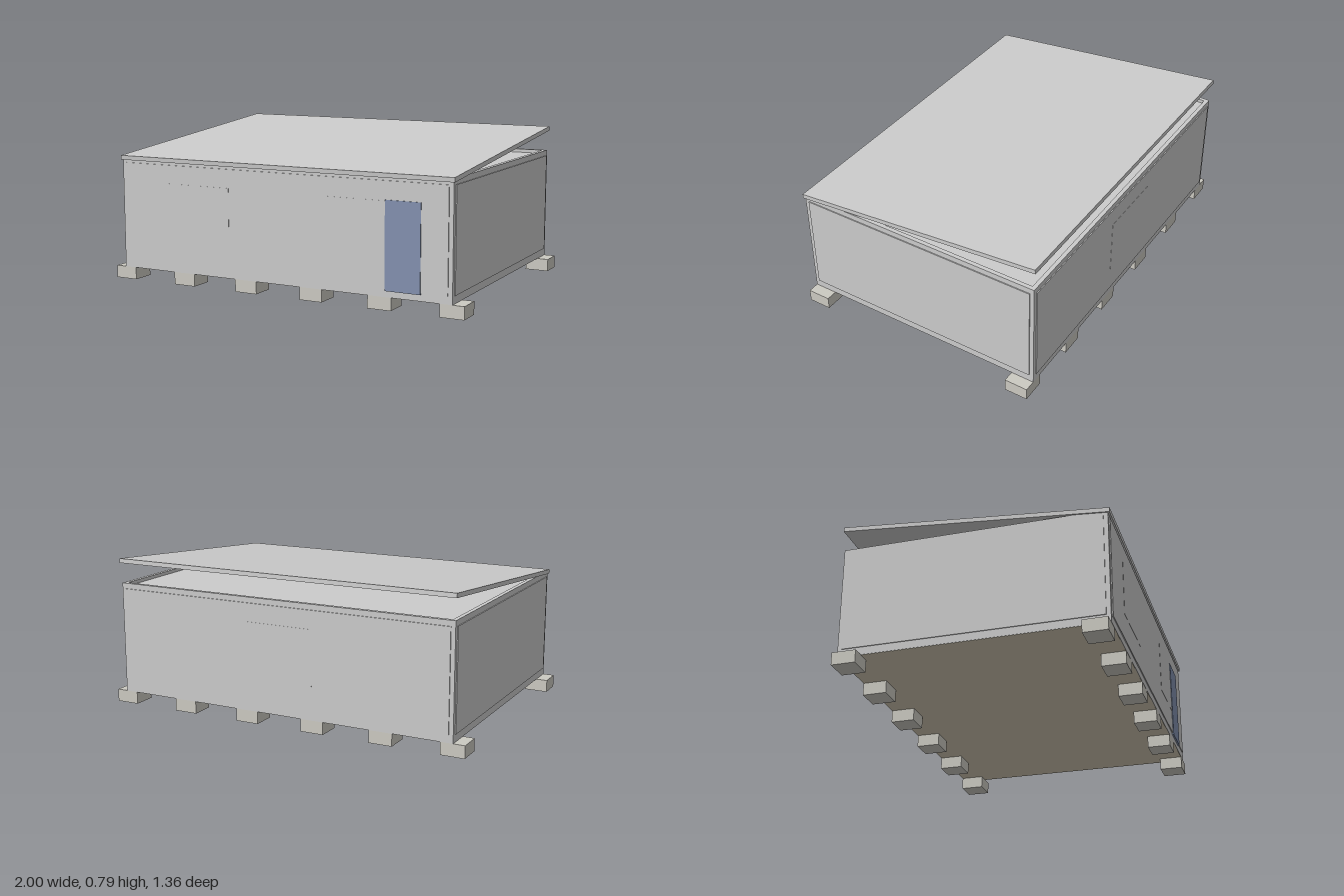
import * as THREE from 'three';

const material = (color) => new THREE.MeshStandardMaterial({ color });

export function createModel() {
  const model = new THREE.Group();
  const grey = material(0xcccccc);
  const concrete = material(0xcccac2);
  const wood = material(0xd2c9b3);
  const blue = material(0x8391af);

  // Box given by its lower and upper corners
  function block(name, [x0, y0, z0], [x1, y1, z1], mat = grey, parent = model) {
    const mesh = new THREE.Mesh(new THREE.BoxGeometry(x1 - x0, y1 - y0, z1 - z0), mat);
    mesh.position.set((x0 + x1) / 2, (y0 + y1) / 2, (z0 + z1) / 2);
    mesh.name = name;
    parent.add(mesh);
    return mesh;
  }

  const X = 0.94, Z = 0.672;      // outer faces of the frame
  const Y0 = 0.065, Y1 = 0.655;   // frame bottom and top
  const POST = 0.022, SILL = 0.105, HEAD = 0.626;

  // Foundation blocks: six along the front and six along the back
  const feet = new THREE.Group();
  feet.name = 'foundationBlocks';
  for (const side of [-1, 1]) {
    for (let i = 0; i < 6; i++) {
      const x = -0.9375 + i * 0.375;
      const z = side * 0.61;
      block('foundationBlock', [x - 0.0625, 0, z - 0.0615], [x + 0.0625, Y0, z + 0.0615], concrete, feet);
    }
  }
  model.add(feet);

  // Frame: corner posts, bottom sills and top rails
  const frame = new THREE.Group();
  frame.name = 'frame';
  for (const s of [-1, 1]) {
    for (const t of [-1, 1]) {
      const cx = s * (X - POST / 2), cz = t * (Z - POST / 2), h = POST / 2;
      block('cornerPost', [cx - h, Y0, cz - h], [cx + h, Y1, cz + h], grey, frame);
    }
    for (const [name, lo, hi] of [['sill', Y0, SILL], ['topRail', HEAD, Y1]]) {
      const cz = s * (Z - POST / 2), cx = s * (X - POST / 2), h = POST / 2;
      block(name, [-X + POST, lo, cz - h], [X - POST, hi, cz + h], grey, frame);
      block(name, [cx - h, lo, -Z + POST], [cx + h, hi, Z - POST], grey, frame);
    }
  }
  model.add(frame);

  // Floor and ceiling inside the frame
  block('floor', [-X + POST, Y0 + 0.001, -Z + POST], [X - POST, SILL - 0.005, Z - POST], wood);
  block('floorUnderside', [-X + 0.002, Y0 - 0.001, -Z + 0.002], [X - 0.002, Y0 + 0.001, Z - 0.002], wood);
  block('ceiling', [-X + POST, 0.61, -Z + POST], [X - POST, 0.637, Z - POST]);

  // Wall panels, standing slightly proud of the frame
  for (const s of [-1, 1]) {
    const end = block('endWall', [-0.0125, SILL, -Z + POST], [0.0125, HEAD, Z - POST]);
    end.position.x = s * (X + 0.005 - 0.0125);
    const long = block('longWall', [-X + POST, SILL, -0.0125], [X - POST, HEAD, 0.0125]);
    long.position.z = s * (Z + 0.005 - 0.0125);
  }

  // Flush window panels and the door
  block('frontWindow', [-0.66, 0.24, 0.66], [-0.28, 0.53, 0.678]);
  block('frontWindow', [0.28, 0.24, 0.66], [0.594, 0.53, 0.678]);
  block('backWindow', [-0.19, 0.24, -0.678], [0.19, 0.53, -0.66]);
  block('door', [0.595, 0.097, 0.66], [0.78, 0.535, 0.681], blue);

  // Single-pitch roof sheet rising towards the back
  const roof = block('roof', [-0.947, -0.0115, -0.684], [0.947, 0.0115, 0.684]);
  roof.position.set(0, 0.7125, 0);
  roof.rotation.x = Math.atan2(0.123, 1.36);

  return model;
}
